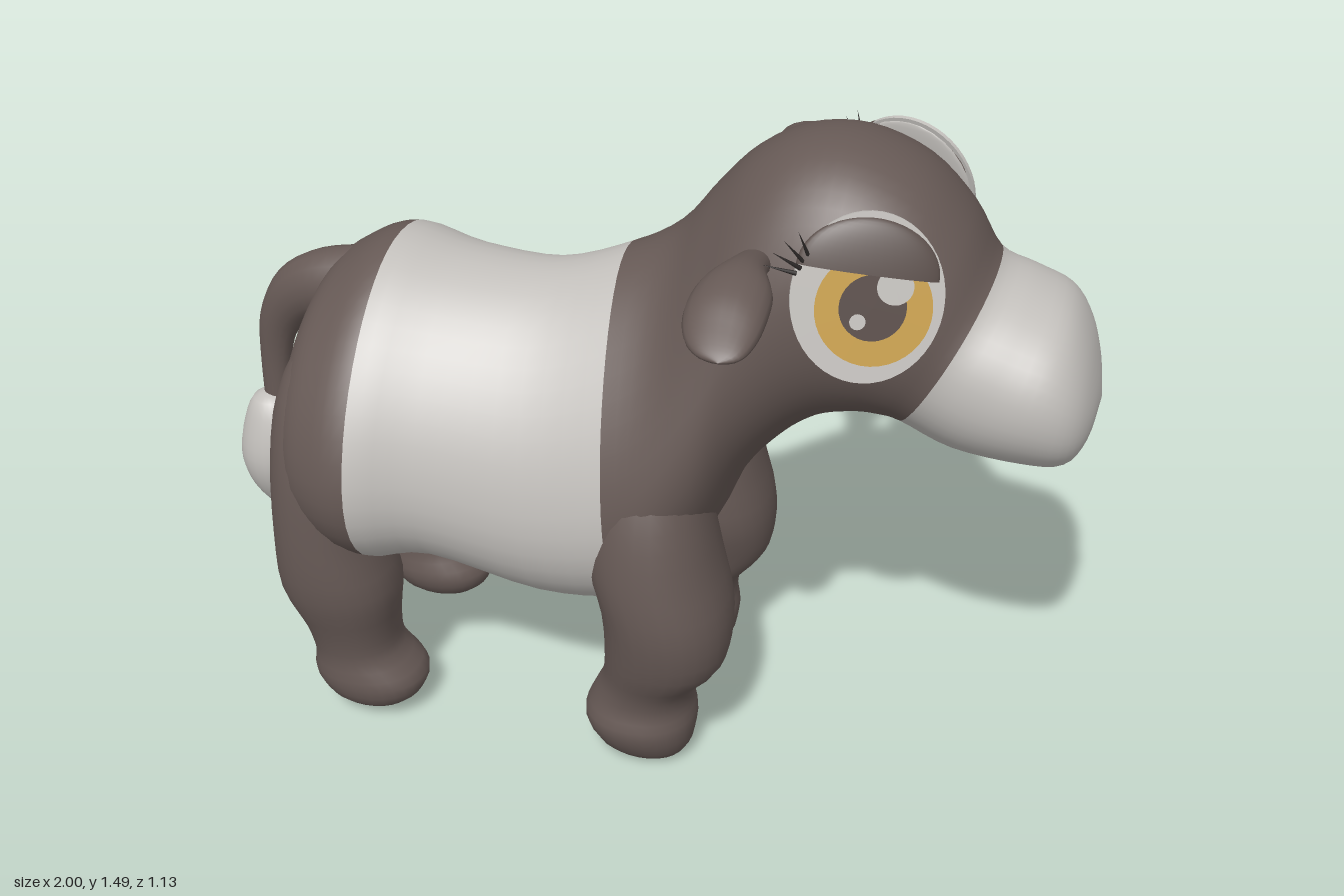
import * as THREE from 'three';

const mat = (name, color, side = THREE.FrontSide) => {
  const m = new THREE.MeshStandardMaterial({ color, side });
  m.name = name;
  return m;
};

// Catmull-Rom interpolation between rows of numbers
function smooth(rows, steps) {
  const out = [];
  const at = (i) => rows[Math.min(rows.length - 1, Math.max(0, i))];
  for (let i = 0; i < rows.length - 1; i++) {
    for (let s = 0; s < steps; s++) {
      const t = s / steps;
      out.push(rows[i].map((p1, k) => {
        const p0 = at(i - 1)[k], p2 = at(i + 1)[k], p3 = at(i + 2)[k];
        return 0.5 * (2 * p1 + (p2 - p0) * t + (2 * p0 - 5 * p1 + 4 * p2 - p3) * t * t
          + (3 * p1 - p0 - 3 * p2 + p3) * t * t * t);
      }));
    }
  }
  out.push(rows[rows.length - 1]);
  return out;
}

// Skin over closed rings {c, u, w}, where u x w points along the path;
// taper narrows a ring towards +u
function loft(rings, sides = 32, power = 2) {
  const pos = [], index = [];
  const bend = (v) => Math.sign(v) * Math.pow(Math.abs(v), 2 / power);
  for (const { c, u, w, taper = 0 } of rings) {
    for (let j = 0; j < sides; j++) {
      const a = (j / sides) * Math.PI * 2, p = bend(Math.cos(a));
      const q = bend(Math.sin(a)) * (1 - taper * p);
      for (let k = 0; k < 3; k++) pos.push(c[k] + u[k] * p + w[k] * q);
    }
  }
  for (let i = 0; i < rings.length - 1; i++) {
    for (let j = 0; j < sides; j++) {
      const a = i * sides + j, b = i * sides + (j + 1) % sides;
      index.push(a, b, a + sides, b, b + sides, a + sides);
    }
  }
  const g = new THREE.BufferGeometry();
  g.setAttribute('position', new THREE.Float32BufferAttribute(pos, 3));
  g.setIndex(index);
  g.computeVertexNormals();
  return g;
}

export function createModel() {
  const brown = mat('brownCoat', 0x665955);
  const white = mat('whiteCoat', 0xc2bfbb);
  const lidBrown = mat('eyelidBrown', 0x5c504c, THREE.DoubleSide);
  const gold = mat('irisGold', 0xc69d48);
  const pupilBrown = mat('pupilBrown', 0x544743);
  const black = mat('lashBlack', 0x2a2625);

  const model = new THREE.Group();
  const add = (parent, name, geometry, material, x = 0, y = 0, z = 0) => {
    const m = new THREE.Mesh(geometry, material);
    m.name = name;
    m.position.set(x, y, z);
    parent.add(m);
    return m;
  };

  // Body from rump to nose: top x, top y, bottom x, bottom y, half width, taper
  const bodyRows = [
    [-0.77, 0.761, -0.77, 0.76, 0.0005, 0], [-0.765, 0.92, -0.765, 0.60, 0.22, 0.1],
    [-0.72, 1.04, -0.73, 0.48, 0.34, 0.18], [-0.65, 1.105, -0.65, 0.42, 0.39, 0.24],
    [-0.55, 1.145, -0.55, 0.395, 0.406, 0.25], [-0.40, 1.115, -0.42, 0.405, 0.36, 0.24],
    [-0.20, 1.11, -0.16, 0.34, 0.338, 0.25], [-0.025, 1.175, 0.04, 0.365, 0.335, 0.32],
    [0.09, 1.245, 0.12, 0.44, 0.325, 0.36], [0.17, 1.345, 0.21, 0.57, 0.305, 0.29],
    [0.25, 1.43, 0.27, 0.71, 0.285, 0.15], [0.35, 1.483, 0.35, 0.81, 0.276, 0.05],
    [0.47, 1.49, 0.42, 0.865, 0.275, 0], [0.60, 1.44, 0.49, 0.89, 0.272, 0],
    [0.70, 1.345, 0.54, 0.895, 0.258, 0], [0.765, 1.245, 0.585, 0.89, 0.242, 0],
    [0.84, 1.215, 0.70, 0.84, 0.24, 0], [0.915, 1.18, 0.85, 0.824, 0.235, 0],
    [0.96, 1.115, 0.94, 0.83, 0.2, 0], [0.988, 1.03, 0.982, 0.885, 0.125, 0],
    [1.0, 0.961, 1.0, 0.96, 0.0005, 0],
  ];
  const steps = 4, sides = 48;
  const bodyGeo = loft(smooth(bodyRows, steps).map(([tx, ty, bx, by, w, taper]) => ({
    c: [(tx + bx) / 2, (ty + by) / 2, -0.015],
    u: [(tx - bx) / 2, (ty - by) / 2, 0],
    w: [0, 0, w],
    taper,
  })), sides, 2.1);
  // Coat bands: rump, belt, head and shoulders, muzzle
  [[0, 4, 0], [4, 7, 1], [7, 15, 0], [15, 20, 1]].forEach(([from, to, m]) => {
    const n = steps * sides * 6;
    bodyGeo.addGroup(from * n, (to - from) * n, m);
  });
  add(model, 'body', bodyGeo, [brown, white]);

  // Legs: y, x centre, x radius, z centre, z radius
  const frontRows = [
    [0.002, 0.10, 0.0005, 0.22, 0.0005], [0.022, 0.085, 0.095, 0.22, 0.085],
    [0.10, 0.07, 0.13, 0.22, 0.125], [0.16, 0.075, 0.118, 0.22, 0.113],
    [0.22, 0.095, 0.112, 0.225, 0.117], [0.30, 0.13, 0.138, 0.235, 0.138],
    [0.42, 0.132, 0.146, 0.227, 0.168], [0.55, 0.10, 0.148, 0.22, 0.167],
    [0.68, 0.09, 0.13, 0.215, 0.145], [0.80, 0.095, 0.10, 0.20, 0.112],
    [0.90, 0.10, 0.07, 0.18, 0.075], [0.97, 0.10, 0.0005, 0.16, 0.0005],
  ];
  const backRows = [
    [0.025, -0.60, 0.0005, 0.235, 0.0005], [0.04, -0.59, 0.095, 0.235, 0.085],
    [0.10, -0.60, 0.135, 0.232, 0.115], [0.17, -0.625, 0.105, 0.235, 0.106],
    [0.25, -0.635, 0.11, 0.24, 0.115], [0.37, -0.65, 0.138, 0.25, 0.138],
    [0.52, -0.667, 0.122, 0.25, 0.143], [0.70, -0.668, 0.115, 0.24, 0.138],
    [0.85, -0.66, 0.105, 0.215, 0.115], [0.96, -0.64, 0.07, 0.19, 0.07],
    [1.02, -0.62, 0.0005, 0.17, 0.0005],
  ];
  const legGeo = (rows) => loft(smooth(rows, 3).map(([y, x, rx, z, rz]) => ({
    c: [x, y, z], u: [0, 0, rz], w: [rx, 0, 0],
  })), 28, 2.2);
  const frontGeo = legGeo(frontRows), backGeo = legGeo(backRows);

  // Ear: z, x centre, y centre, x radius, y radius
  const earGeo = loft(smooth([
    [0.22, 0.30, 1.285, 0.035, 0.03], [0.31, 0.30, 1.308, 0.045, 0.033],
    [0.38, 0.298, 1.295, 0.074, 0.05], [0.45, 0.295, 1.278, 0.08, 0.049],
    [0.51, 0.298, 1.26, 0.068, 0.031], [0.55, 0.305, 1.249, 0.042, 0.014],
    [0.567, 0.31, 1.245, 0.0005, 0.0005],
  ], 4).map(([z, x, y, rx, ry]) => ({ c: [x, y, z], u: [rx, 0, 0], w: [0, ry, 0] })), 20);

  // Eye built facing +z, then tilted onto the side of the head
  function makeEye() {
    const eye = new THREE.Group();
    eye.name = 'eye';
    const rim = add(eye, 'eyeWhite', new THREE.CylinderGeometry(1, 1, 0.009, 48).rotateX(Math.PI / 2), white);
    rim.scale.set(0.15, 0.17, 1);
    const back = add(eye, 'eyeBacking', new THREE.SphereGeometry(1, 32, 16), white, 0, 0, -0.012);
    back.scale.set(0.147, 0.167, 0.011);
    add(eye, 'iris', new THREE.CircleGeometry(0.115, 40), gold, 0.013, -0.02, 0.007);
    add(eye, 'pupil', new THREE.CircleGeometry(0.066, 32), pupilBrown, 0.011, -0.018, 0.009);
    add(eye, 'largeHighlight', new THREE.CircleGeometry(0.036, 24), white, 0.052, 0.025, 0.011);
    add(eye, 'smallHighlight', new THREE.CircleGeometry(0.016, 16), white, -0.017, -0.046, 0.011);
    const lid = add(eye, 'eyelid',
      new THREE.SphereGeometry(1, 40, 12, 0, Math.PI * 2, 0, Math.PI / 2), lidBrown, -0.002, 0.05, 0.002);
    lid.scale.set(0.14, 0.108, 0.024);
    lid.rotation.z = -0.1;
    // Lashes fan out from the rear corner
    for (let i = 0; i < 4; i++) {
      const lash = add(eye, 'eyelash', new THREE.ConeGeometry(0.005, 0.07, 6).translate(0, 0.035, 0),
        black, -0.14 + i * 0.008, 0.045 + i * 0.01, 0.006);
      lash.rotation.set(0.5, 0, 1.3 - i * 0.3);
    }
    const normal = new THREE.Vector3(0.28, 0.26, 1).normalize();
    eye.quaternion.setFromUnitVectors(new THREE.Vector3(0, 0, 1), normal);
    eye.position.set(0.536, 1.268, 0.286);
    return eye;
  }

  // Paired parts, mirrored across the body
  for (const s of [1, -1]) {
    const half = new THREE.Group();
    half.name = s > 0 ? 'nearSideParts' : 'farSideParts';
    half.scale.z = s;
    half.position.z = -0.013;
    add(half, 'frontLeg', frontGeo, brown);
    add(half, 'backLeg', backGeo, brown);
    add(half, 'ear', earGeo, brown, 0, 0, s * 0.009);
    half.add(makeEye());
    model.add(half);
  }

  // Tail: x, y, radius, swept in the middle plane and flattened sideways
  const tail = smooth([
    [-0.64, 1.0, 0.095], [-0.74, 0.99, 0.085], [-0.815, 0.955, 0.07],
    [-0.87, 0.88, 0.05], [-0.892, 0.78, 0.037], [-0.897, 0.66, 0.034],
  ], 4);
  add(model, 'tail', loft(tail.map(([x, y, r], i) => {
    const a = tail[Math.max(0, i - 1)], b = tail[Math.min(tail.length - 1, i + 1)];
    const d = Math.hypot(b[0] - a[0], b[1] - a[1]);
    return { c: [x, y, -0.015], u: [-(b[1] - a[1]) / d * r, (b[0] - a[0]) / d * r, 0], w: [0, 0, r * 0.8] };
  }), 16), brown);

  // Tail tuft
  const tuft = smooth([
    [0, 0.36], [0.045, 0.395], [0.08, 0.46], [0.091, 0.53], [0.075, 0.61], [0.048, 0.67], [0, 0.69],
  ], 3).map(([r, y]) => new THREE.Vector2(Math.max(r, 0), y));
  add(model, 'tailTuft', new THREE.LatheGeometry(tuft, 24), white, -0.909, 0, -0.012);

  return model;
}
